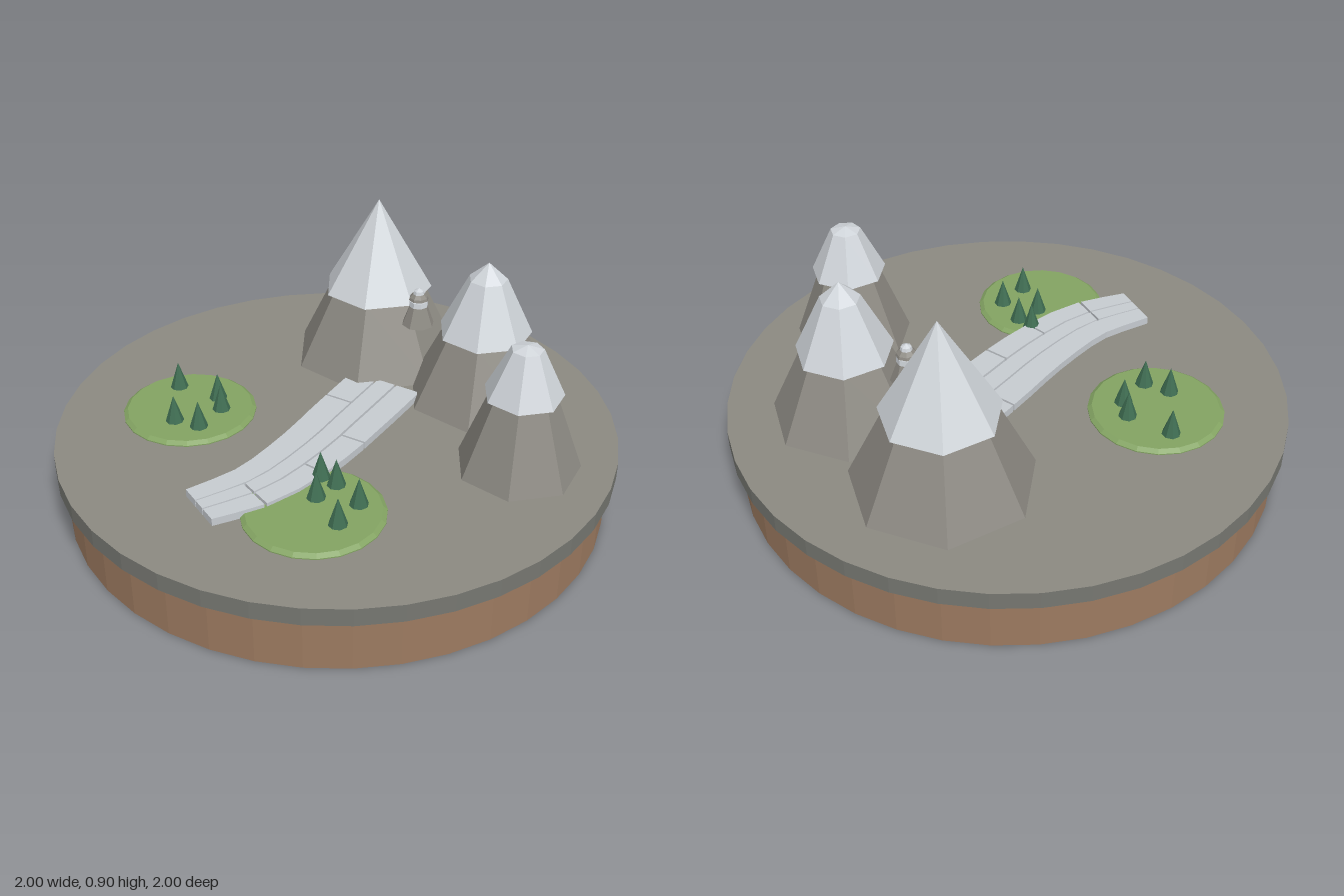
import * as THREE from 'three';

const paint = (name, color) => {
  const m = new THREE.MeshStandardMaterial({ color });
  m.name = name;
  return m;
};

export function createModel() {
  const model = new THREE.Group();
  model.name = 'mountainDiorama';

  const earth = paint('earth brown', 0x9c7a60);
  const rim = paint('rim grey', 0x767771);
  const ground = paint('ground grey', 0x8b8981);
  const rock = paint('rock grey', 0x8d8a83);
  const snow = paint('snow', 0xd0d5da);
  const paving = paint('paving', 0xc6cbd0);
  const grass = paint('grass green', 0x83a362);
  const pine = paint('pine green', 0x3f6d52);

  const GROUND = 0.265;

  const add = (parent, name, geometry, material) => {
    const mesh = new THREE.Mesh(geometry, material);
    mesh.name = name;
    parent.add(mesh);
    return mesh;
  };

  // Faceted solid of revolution from a [radius, height] profile, bottom to top
  const facet = (profile, sides, turn = 0) => {
    const g = new THREE.LatheGeometry(
      profile.map(([r, y]) => new THREE.Vector2(r, y)), sides, turn
    ).toNonIndexed();
    g.computeVertexNormals();
    return g;
  };

  // Round base: earth drum, stone rim and ground surface
  add(model, 'earthBase', facet([[0, 0], [0.97, 0], [0.97, 0.2], [0, 0.2]], 40), earth);
  add(model, 'stoneRim', facet([[0, 0.2], [1, 0.2], [1, GROUND]], 40), rim);
  add(model, 'groundTop', facet([[1, GROUND], [0, GROUND]], 40), ground);

  // Seven-sided mountains, each a rock frustum under an overhanging snow cap
  const TURN = 0.32;
  const mountains = [
    { x: -0.15, z: -0.52, foot: 0.322, neck: 0.182, cap: [[0.207, 0.55], [0, 0.905]] },
    { x: 0.345, z: -0.455, foot: 0.277, neck: 0.15, cap: [[0.172, 0.53], [0.07, 0.742], [0, 0.805]] },
    { x: 0.665, z: -0.112, foot: 0.217, neck: 0.11, cap: [[0.137, 0.55], [0.055, 0.722], [0, 0.737]] },
  ];
  for (const { x, z, foot, neck, cap } of mountains) {
    const mountain = new THREE.Group();
    mountain.name = 'mountain';
    mountain.position.set(x, 0, z);
    const snowLine = cap[0][1];
    add(mountain, 'rockBody', facet([[foot, GROUND], [neck, snowLine + 0.004]], 7, TURN), rock);
    add(mountain, 'snowCap', facet([[0, snowLine], ...cap], 7, TURN), snow);
    model.add(mountain);
  }

  // Small lookout between the two tall peaks
  const lookout = new THREE.Group();
  lookout.name = 'lookout';
  lookout.position.set(0.09, 0, -0.415);
  add(lookout, 'lookoutBody', facet([[0, 0.505], [0.06, 0.505], [0.033, 0.58], [0, 0.58]], 8), rock);
  add(lookout, 'lookoutCollar', facet([[0, 0.58], [0.036, 0.58], [0.034, 0.6], [0, 0.6]], 8), snow);
  add(lookout, 'lookoutRoof', facet([[0, 0.6], [0.037, 0.605], [0.034, 0.615], [0.022, 0.628], [0, 0.628]], 8), rock);
  add(lookout, 'lookoutTip', facet([[0.022, 0.625], [0.018, 0.64], [0, 0.65]], 8), snow);
  model.add(lookout);

  // Grassy mounds with pine trees
  const groves = [
    { x: -0.49, z: 0.225, trees: [[-0.61, 0.138], [-0.44, 0.122], [-0.385, 0.175], [-0.478, 0.327], [-0.382, 0.31]] },
    { x: 0.23, z: 0.488, trees: [[0.152, 0.33], [0.22, 0.338], [0.203, 0.433], [0.34, 0.388], [0.34, 0.513]] },
  ];
  for (const { x, z, trees } of groves) {
    const mound = add(model, 'grassMound',
      facet([[0.241, GROUND], [0.241, 0.269], [0.226, 0.28], [0, 0.28]], 20), grass);
    mound.position.set(x, 0, z);
    for (const [tx, tz] of trees) {
      const tree = add(model, 'pineTree', facet([[0, 0.277], [0.034, 0.277], [0, 0.382]], 8), pine);
      tree.position.set(tx, 0, tz);
    }
  }

  // Curved paved path: three lanes of slabs, narrowing towards the front
  const route = new THREE.CatmullRomCurve3([
    [0.03, -0.29], [0.038, 0], [0.042, 0.2], [0.01, 0.48], [-0.086, 0.685],
  ].map(([x, z]) => new THREE.Vector3(x, 0, z)));

  // Point on the path at distance u and sideways offset s, drawn as (x, -z)
  const pathPoint = (u, s) => {
    const p = route.getPointAt(u);
    const t = route.getTangentAt(u);
    const half = 0.143 - 0.05 * u * u;
    return new THREE.Vector2(p.x + t.z * s * half, -(p.z - t.x * s * half));
  };

  const lanes = [
    { from: -1, to: -0.27, joints: [0, 0.19, 1] },
    { from: -0.22, to: 0.28, joints: [0, 0.82, 1] },
    { from: 0.34, to: 1, joints: [0, 0.39, 0.6, 0.82, 1] },
  ];
  const path = new THREE.Group();
  path.name = 'pavedPath';
  for (const { from, to, joints } of lanes) {
    for (let i = 0; i < joints.length - 1; i++) {
      const a = joints[i] + (i ? 0.004 : 0);
      const b = joints[i + 1] - (joints[i + 1] < 1 ? 0.004 : 0);
      const steps = Math.max(2, Math.round((b - a) * 10));
      const left = [], right = [];
      for (let k = 0; k <= steps; k++) {
        const u = a + ((b - a) * k) / steps;
        left.push(pathPoint(u, from));
        right.unshift(pathPoint(u, to));
      }
      const slab = new THREE.ExtrudeGeometry(new THREE.Shape([...left, ...right]),
        { depth: 0.028, bevelEnabled: false });
      slab.rotateX(-Math.PI / 2);
      add(path, 'pathSlab', slab, paving).position.y = GROUND;
    }
  }
  model.add(path);

  return model;
}
